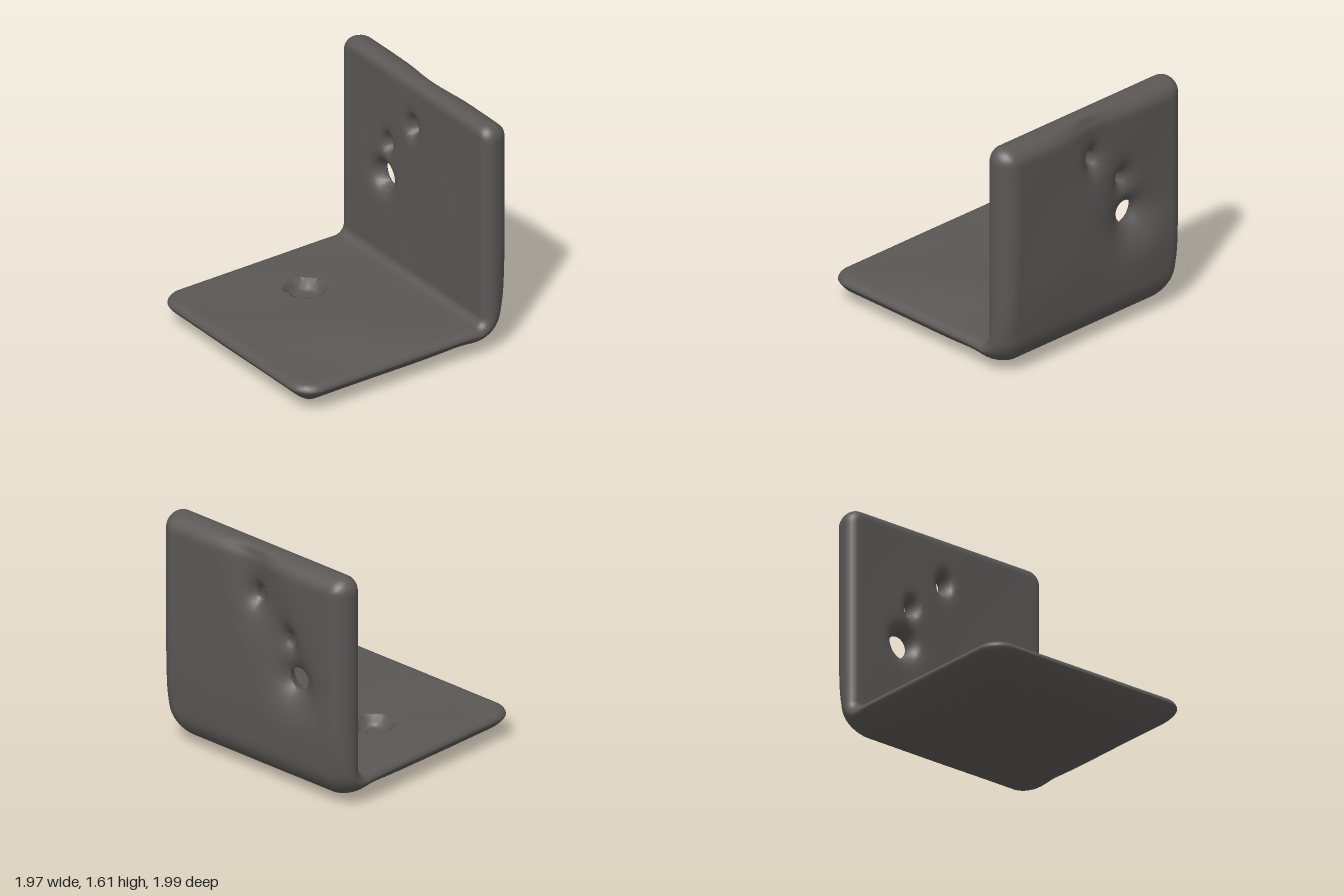
import * as THREE from 'three';
import { mergeVertices } from 'three/addons/utils/BufferGeometryUtils.js';

const HALF_WIDTH = 0.785, CENTRE_X = -0.015;
const HALF_THICK = 0.102;
const FRONT = 0.81, TOP = 1.615;         // ends of the middle sheet
const FLOOR = 0.11, BACK = -0.697;       // middle of the base and of the wall
const BEND = 0.155;                      // bend radius of the middle sheet
const BASE_LEN = FRONT - BACK - BEND;
const ARC_LEN = BEND * Math.PI / 2;
const WALL_START = BASE_LEN + ARC_LEN;
const LENGTH = WALL_START + TOP - FLOOR - BEND;

const wallAt = (y) => WALL_START + y - FLOOR - BEND;   // height -> path length
const HOLES = [
  { u: -0.34, b: wallAt(0.79), ru: 0.074, rb: 0.075, front: 0.03, back: 0.07 },
  { u: -0.285, b: wallAt(1.05), ru: 0.028, rb: 0.04, front: 0.016, back: 0.04 },
  { u: -0.02, b: wallAt(1.29), ru: 0.032, rb: 0.045, front: 0.018, back: 0.04 },
];
const PIT = { u: -0.3, b: 0.794, r: 0.133, depth: 0.075 };
const GROOVE = new THREE.Line3(
  new THREE.Vector3(0.05, LENGTH, 0), new THREE.Vector3(-0.35, wallAt(0.75), 0));

const { clamp, lerp, smoothstep } = THREE.MathUtils;
const bell = (d, w) => Math.exp(-(d * d) / (w * w));
// Rim profile: power 2 is circular, lower powers approach a straight bevel
const rim = (e, r, power) => (1 - (1 - clamp(e / r, 0, 1)) ** power) ** (1 / power);

// Grid positions from 0 to len, packed closer at both ends for the rounded rims
function ticks(len) {
  const ends = [0, 0.002, 0.008, 0.018, 0.032, 0.05];
  const n = Math.round((len - 0.14) / 0.02), list = [...ends];
  for (let i = 0; i <= n; i++) list.push(0.07 + (len - 0.14) * i / n);
  return list.concat(ends.map((r) => len - r).reverse());
}

// Point on the bent sheet: u across, b along the bend path, n towards the inside
function bendPoint(u, b, n) {
  const x = u + CENTRE_X;
  if (b < BASE_LEN) return [x, FLOOR + n, FRONT - b];
  if (b > WALL_START) return [x, FLOOR + BEND + b - WALL_START, BACK + n];
  const a = (b - BASE_LEN) / BEND, r = BEND - n;
  return [x, FLOOR + BEND - r * Math.cos(a), BACK + BEND - r * Math.sin(a)];
}

// Inner (side = 1) or outer (side = -1) surface point
function surfacePoint(u, b, side) {
  const edge = Math.min(HALF_WIDTH - Math.abs(u), b, LENGTH - b);
  const baseness = 1 - smoothstep(b, 1.2, 1.75);

  // Rounded outline corners, wider on the base
  const c = b - LENGTH / 2, corner = c < 0 ? 0.15 : 0.1;
  const du = Math.abs(u) - HALF_WIDTH + corner, db = Math.abs(c) - LENGTH / 2 + corner;
  if (du > 0 && db > 0) {
    const k = Math.max(du, db) / Math.hypot(du, db);
    u = Math.sign(u) * (HALF_WIDTH - corner + du * k);
    b = LENGTH / 2 + Math.sign(c) * (LENGTH / 2 - corner + db * k);
  }

  // Crisp rim inside; soft rim outside, becoming a wide bevel under the base
  const profile = side > 0 ? rim(edge, 0.06, 2)
    : rim(edge, lerp(0.11, 0.24, baseness), lerp(2, 1.35, baseness));
  let n = lerp(lerp(0.025, 0.055, baseness), side * HALF_THICK, profile);
  const inside = clamp(edge / 0.15, 0, 1);

  // Gentle unevenness, the swelling on the base and the rise beneath the bend
  n += 0.004 * inside * Math.sin(7 * u + 2) * Math.sin(5 * b + side);
  if (side > 0) n += 0.033 * inside * bell(Math.hypot(u - 0.35, b - 0.73), 0.42) - 0.004;
  else n += 0.03 * profile * bell(b - 1.45, 0.3);

  // Dished channel down the back of the wall
  if (side < 0 && b > BASE_LEN) {
    const p = new THREE.Vector3(u, b, 0);
    const d = GROOVE.closestPointToPoint(p, true, new THREE.Vector3()).distanceTo(p);
    n += 0.04 * bell(d, 0.17) * clamp(edge / 0.05, 0, 1);
  }

  // Through holes: snap to the rim and pinch both faces together there
  let cut = false;
  for (const h of HOLES) {
    const x = u - h.u, y = b - h.b;
    const d = Math.max(Math.hypot(x / h.ru, y / h.rb), 1e-4);
    if (d <= 1) {
      u = h.u + x / d;
      b = h.b + y / d;
      n = 0;
      cut = true;
    } else {
      n *= 1 - Math.exp(-(d - 1) * h.ru / (side > 0 ? h.front : h.back));
    }
  }

  // Round pit in the base
  if (side > 0) {
    const x = u - PIT.u, y = b - PIT.b;
    let r = Math.hypot(x, y);
    if (Math.abs(r - PIT.r) < 0.0115) {
      u = PIT.u + x * PIT.r / r;
      b = PIT.b + y * PIT.r / r;
      r = PIT.r;
    }
    if (r < PIT.r) n -= PIT.depth * (1 - (r / PIT.r) ** 7);
  }
  // Both skins share exactly the same outline
  if (edge < 1e-6) n = lerp(0.025, 0.055, baseness);
  return { position: bendPoint(u, b, n), cut };
}

// Two facing skins that meet along the outline and around the holes
function bracketGeometry() {
  const us = ticks(HALF_WIDTH * 2).map((u) => u - HALF_WIDTH), bs = ticks(LENGTH);
  const positions = [], cuts = [], index = [];
  for (const side of [1, -1]) {
    const start = cuts.length;
    for (const b of bs) for (const u of us) {
      const p = surfacePoint(u, b, side);
      positions.push(...p.position);
      cuts.push(p.cut);
    }
    for (let j = 0; j < bs.length - 1; j++) for (let i = 0; i < us.length - 1; i++) {
      const p = start + j * us.length + i, q = p + 1, s = p + us.length, r = s + 1;
      if (cuts[p] && cuts[q] && cuts[r] && cuts[s]) continue;
      if (side > 0) index.push(p, q, r, p, r, s);
      else index.push(p, r, q, p, s, r);
    }
  }
  const geometry = new THREE.BufferGeometry();
  geometry.setAttribute('position', new THREE.Float32BufferAttribute(positions, 3));
  geometry.setIndex(index);
  const merged = mergeVertices(geometry, 1e-5);
  merged.computeVertexNormals();
  return merged;
}

export function createModel() {
  const darkStone = new THREE.MeshStandardMaterial({ color: 0x5a5755 });
  darkStone.name = 'darkStone';

  const bracket = new THREE.Mesh(bracketGeometry(), darkStone);
  bracket.name = 'angleBracket';
  bracket.rotation.y = -0.372;

  const model = new THREE.Group();
  model.name = 'bracketModel';
  model.add(bracket);
  return model;
}
